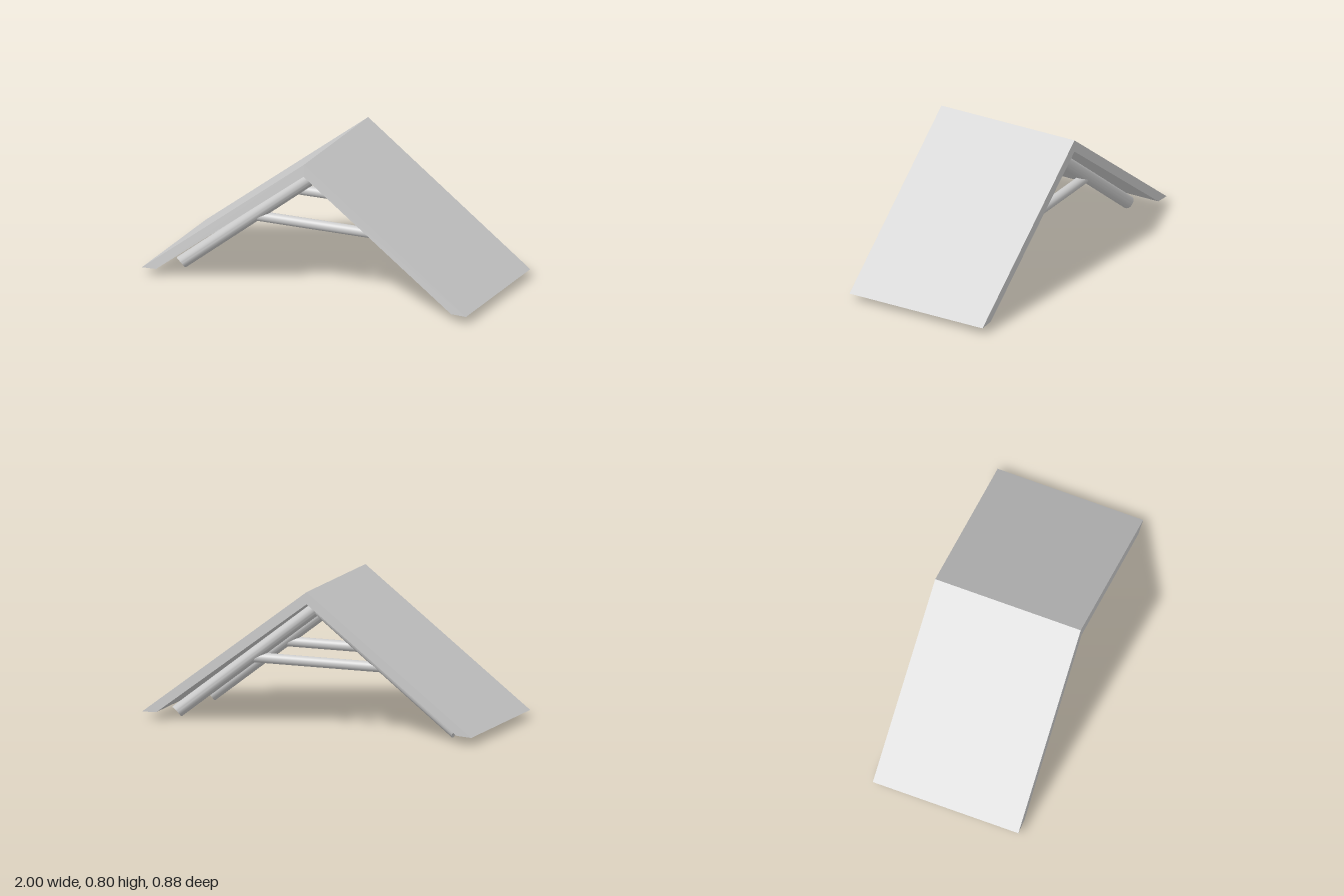
import * as THREE from 'three';
import { toCreasedNormals } from 'three/addons/utils/BufferGeometryUtils.js';

const material = new THREE.MeshStandardMaterial({ color: 0xcccccc });
const APEX = 0.688;                      // height where the rafter axes meet
const SLOPE = Math.atan(0.774);
const RAFTER_R = 0.038;
const TRUSS_Z = [0.217, -0.278];

function part(geometry, name) {
  const mesh = new THREE.Mesh(geometry, material);
  mesh.name = name;
  return mesh;
}

// Chevron slab; its front face leans back slightly towards the outer edge
function roofGeometry() {
  const shape = new THREE.Shape([
    [-1, 0.045], [-0.91, 0.05], [0, 0.735], [0.91, 0.05], [1, 0.045], [0, 0.805],
  ].map(([x, y]) => new THREE.Vector2(x, y)));
  const geometry = new THREE.ExtrudeGeometry(shape, { depth: 0.878, bevelEnabled: false });
  geometry.translate(0, 0, -0.44);
  const pos = geometry.attributes.position;
  for (let i = 0; i < pos.count; i++) {
    const x = Math.abs(pos.getX(i)), y = pos.getY(i);
    const outer = x > 0.95 || y > 0.77;
    if (outer && pos.getZ(i) > 0) pos.setZ(i, 0.433);
  }
  geometry.computeVertexNormals();
  return geometry;
}

// Round pole, mitred at the ridge and cut with a concave saddle at the eave
function rafterGeometry() {
  const r = RAFTER_R;
  const profile = [[0, 0], [r / 3, 0], [r * 2 / 3, 0], [r, 0], [r, 1], [0, 1]];
  const geometry = new THREE.LatheGeometry(profile.map(([x, y]) => new THREE.Vector2(x, y)), 32);
  const cos = Math.cos(SLOPE), sin = Math.sin(SLOPE);
  const cutX = 0.88, cutY = -0.003 - APEX, cutR = 0.058;
  const along = cutX * cos - cutY * sin, across = cutX * sin + cutY * cos;
  const pos = geometry.attributes.position;
  for (let i = 0; i < pos.count; i++) {
    const s = pos.getX(i);
    const d = pos.getY(i) > 0.5
      ? -s * sin / cos
      : along - Math.sqrt(cutR ** 2 - (across - s) ** 2);
    pos.setXY(i, s * sin + d * cos, APEX + s * cos - d * sin);
  }
  return toCreasedNormals(geometry, 0.6);
}

export function createModel() {
  const model = new THREE.Group();
  model.name = 'gableRoof';
  model.add(part(roofGeometry(), 'roofSlab'));

  // Two trusses: a pair of rafters joined by a collar tie
  const rafter = rafterGeometry();
  const tie = new THREE.CylinderGeometry(0.029, 0.029, 0.78, 32).rotateZ(Math.PI / 2);
  for (const z of TRUSS_Z) {
    const truss = new THREE.Group();
    truss.name = z > 0 ? 'frontTruss' : 'backTruss';
    truss.position.z = z;
    const left = part(rafter, 'leftRafter');
    const right = part(rafter, 'rightRafter');
    right.rotation.y = Math.PI;
    const collar = part(tie, 'collarTie');
    collar.position.y = 0.374;
    truss.add(left, right, collar);
    model.add(truss);
  }
  return model;
}
